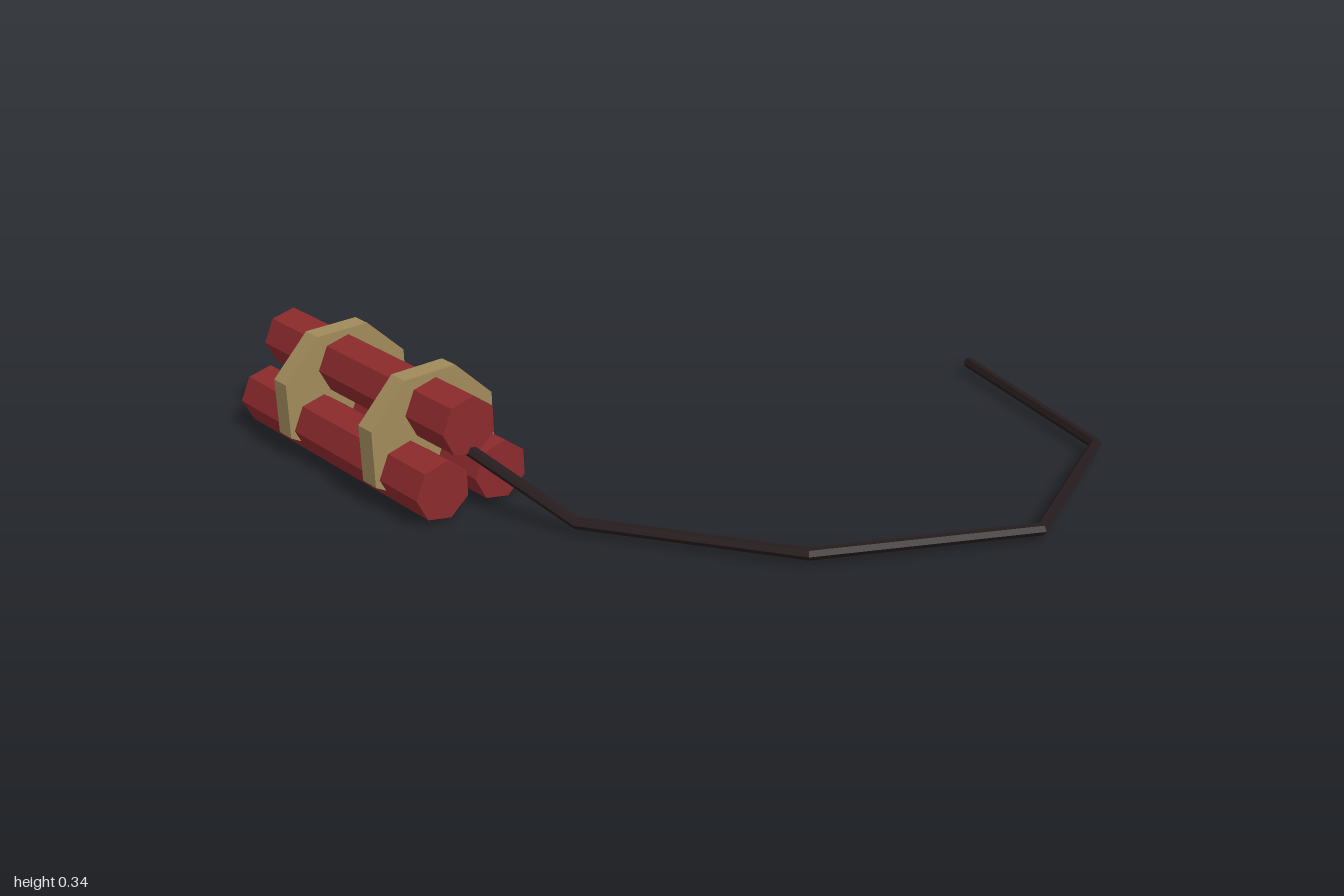
import * as THREE from 'three';

const flat = (name, color) => {
  const m = new THREE.MeshStandardMaterial({ color, flatShading: true });
  m.name = name;
  return m;
};

// Tube with mitred corners and closed ends: each ring slides along its segment to the joint plane
function miteredTube(points, radius, sides) {
  const dirs = points.slice(1).map((p, i) => p.clone().sub(points[i]).normalize());
  const side = new THREE.Vector3().crossVectors(dirs[0], new THREE.Vector3(0, 1, 0)).normalize();
  const down = new THREE.Vector3().crossVectors(dirs[0], side);
  let ring = [];
  for (let k = 0; k < sides; k++) {
    const a = (k / sides) * Math.PI * 2;
    ring.push(points[0].clone()
      .addScaledVector(side, radius * Math.cos(a))
      .addScaledVector(down, radius * Math.sin(a)));
  }
  const rings = [ring];
  dirs.forEach((d, i) => {
    const normal = d.clone().add(dirs[i + 1] ?? d).normalize();
    ring = ring.map((v) => {
      const t = points[i + 1].clone().sub(v).dot(normal) / d.dot(normal);
      return v.clone().addScaledVector(d, t);
    });
    rings.push(ring);
  });

  const tris = [];
  const last = rings.length - 1;
  for (let k = 0; k < sides; k++) {
    const n = (k + 1) % sides;
    for (let i = 0; i < last; i++) {
      const [a, b, c, d] = [rings[i][k], rings[i][n], rings[i + 1][n], rings[i + 1][k]];
      tris.push(a, b, c, a, c, d);
    }
    tris.push(points[0], rings[0][n], rings[0][k]);
    tris.push(points[last], rings[last][k], rings[last][n]);
  }
  const geo = new THREE.BufferGeometry().setFromPoints(tris);
  geo.computeVertexNormals();
  return geo;
}

export function createModel() {
  const model = new THREE.Group();
  model.name = 'stickBundle';
  const red = flat('red paper', 0x8b2a2c);
  const tan = flat('tan strap', 0xa08a5a);
  const black = flat('black cord', 0x251b1c);

  const add = (name, geo, mat, x, y, z) => {
    const mesh = new THREE.Mesh(geo, mat);
    mesh.name = name;
    mesh.position.set(x, y, z);
    model.add(mesh);
  };

  // Three seven-sided sticks lying along x
  const stick = new THREE.CylinderGeometry(0.083, 0.083, 0.868, 7).rotateZ(-Math.PI / 2);
  [['topStick', 0.237, 0.74], ['frontStick', 0.084, 0.832], ['backStick', 0.084, 0.649]]
    .forEach(([name, y, z]) => add(name, stick, red, -0.566, y, z));

  // Two solid octagonal straps, flattened underneath
  const outline = new THREE.Shape([
    [0.079, 0], [0.19, 0.066], [0.19, 0.224], [0.079, 0.335],
    [-0.079, 0.335], [-0.19, 0.224], [-0.19, 0.066], [-0.079, 0],
  ].map(([z, y]) => new THREE.Vector2(z, y)));
  const strap = new THREE.ExtrudeGeometry(outline, { depth: 0.06, bevelEnabled: false })
    .translate(0, 0, -0.03).rotateY(-Math.PI / 2);
  add('rightStrap', strap, tan, -0.744, 0, 0.738);
  add('leftStrap', strap, tan, -0.328, 0, 0.738);

  // Fuse dropping from the bundle's end and curling back along the ground
  const path = [
    [-0.15, 0.17, 0.74], [0.157, 0.032, 0.633], [0.673, 0.032, 0.323],
    [0.983, 0.032, -0.195], [0.779, 0.032, -0.71], [0.158, 0.032, -0.915],
  ].map((p) => new THREE.Vector3(...p));
  add('fuse', miteredTube(path, 0.016, 6), black, 0, 0, 0);

  return model;
}
